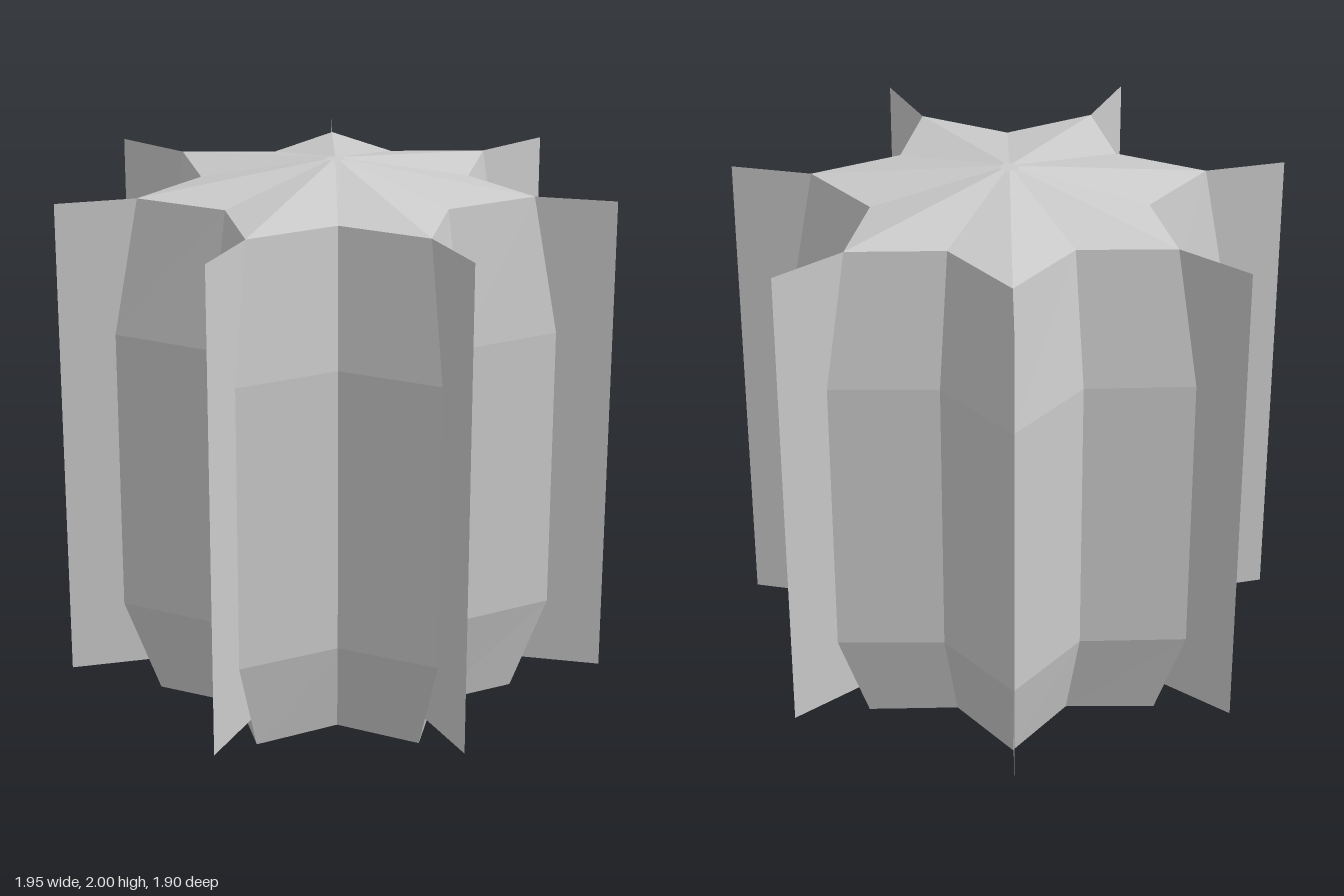
import * as THREE from 'three';

const RIBS = 7;
const CENTRE_Z = -0.05;

// Stack of star-shaped rings: [height, ridge radius, valley radius]
function starLoft(rings) {
  const n = RIBS * 2, pos = [], idx = [];
  for (const [y, ridge, valley] of rings) {
    for (let i = 0; i < n; i++) {
      const a = (i / n) * Math.PI * 2, r = i % 2 ? valley : ridge;
      pos.push(Math.sin(a) * r, y, Math.cos(a) * r);
    }
  }
  for (let k = 0; k < rings.length - 1; k++) {
    for (let i = 0; i < n; i++) {
      const j = (i + 1) % n, a = k * n + i, b = k * n + j;
      idx.push(a, b, b + n, a, b + n, a + n);
    }
  }
  // Close the tiny star at the very top
  const last = (rings.length - 1) * n;
  pos.push(0, rings[rings.length - 1][0], 0);
  for (let i = 0; i < n; i++) idx.push(last + i, last + (i + 1) % n, last + n);

  const geo = new THREE.BufferGeometry();
  geo.setAttribute('position', new THREE.Float32BufferAttribute(pos, 3));
  geo.setIndex(idx);
  const flat = geo.toNonIndexed();
  flat.computeVertexNormals();
  return flat;
}

export function createModel() {
  const model = new THREE.Group();
  model.name = 'cactus';
  const material = new THREE.MeshStandardMaterial({
    color: 0xcccccc, flatShading: true, side: THREE.DoubleSide,
  });

  // Ribbed body, open underneath, with a low pointed crown
  const body = new THREE.Mesh(starLoft([
    [0, 0.67, 0.46],
    [0.36, 0.8, 0.56],
    [1.41, 0.8, 0.56],
    [1.905, 0.71, 0.49],
    [2, 0.04, 0.028],
  ]), material);
  body.name = 'body';
  body.position.z = CENTRE_Z;
  model.add(body);

  // Thin upright sheet of spines along every ridge
  const inner = 0.68, outer = 1.0, bottom = 0.12, top = 1.905;
  const sheet = new THREE.PlaneGeometry(outer - inner, top - bottom);
  sheet.translate((inner + outer) / 2, (top + bottom) / 2, 0);
  const spines = new THREE.Group();
  spines.name = 'spines';
  spines.position.z = CENTRE_Z;
  for (let i = 0; i < RIBS; i++) {
    const spine = new THREE.Mesh(sheet, material);
    spine.name = 'spineSheet' + (i + 1);
    spine.rotation.y = (i / RIBS) * Math.PI * 2 - Math.PI / 2;
    spines.add(spine);
  }
  model.add(spines);
  return model;
}
